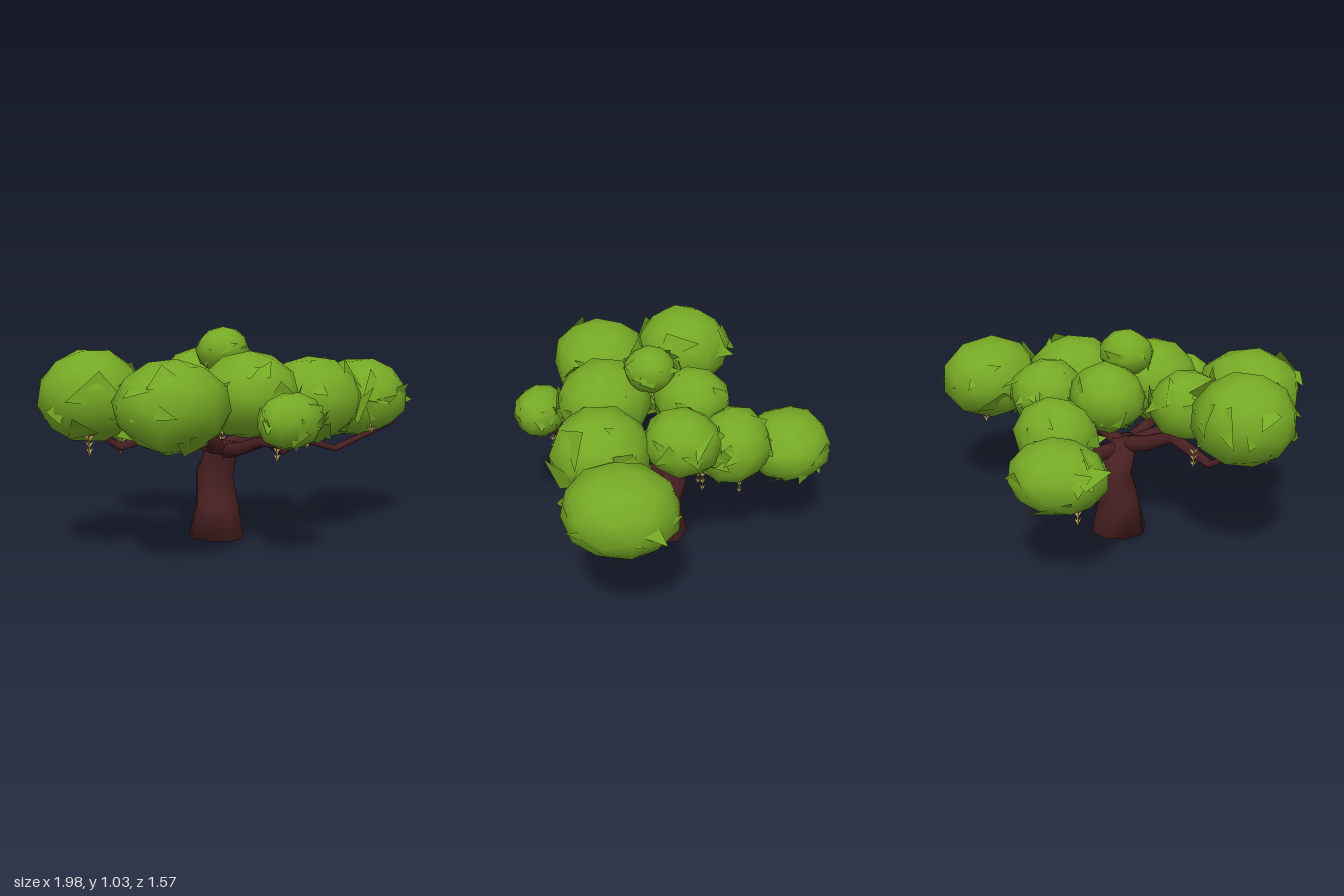
import * as THREE from 'three';
import { mergeGeometries, mergeVertices } from 'three/addons/utils/BufferGeometryUtils.js';

// small seeded random source
function makeRandom(seed) {
  return () => {
    seed = (seed * 16807) % 2147483647;
    return seed / 2147483647;
  };
}

// closed skin over a list of rings, each ring an array of Vector3
function skin(rings) {
  const n = rings[0].length;
  const pos = [], idx = [];
  rings.forEach(r => r.forEach(p => pos.push(p.x, p.y, p.z)));
  for (let i = 0; i < rings.length - 1; i++) {
    for (let j = 0; j < n; j++) {
      const a = i * n + j, b = i * n + (j + 1) % n;
      idx.push(a, a + n, b, b, a + n, b + n);
    }
  }
  const last = (rings.length - 1) * n;
  for (let j = 1; j < n - 1; j++) {
    idx.push(0, j, j + 1);
    idx.push(last, last + j + 1, last + j);
  }
  const g = new THREE.BufferGeometry();
  g.setAttribute('position', new THREE.Float32BufferAttribute(pos, 3));
  g.setIndex(idx);
  g.computeVertexNormals();
  return g;
}

// tapering, kinked limb along a list of points
function limb(points, r0, r1, sides = 6) {
  const pts = points.map(p => new THREE.Vector3(...p));
  const up = new THREE.Vector3(0, 1, 0);
  return skin(pts.map((p, i) => {
    const dir = pts[Math.min(i + 1, pts.length - 1)].clone().sub(pts[Math.max(i - 1, 0)]).normalize();
    const u = new THREE.Vector3().crossVectors(dir, up).normalize();
    const v = new THREE.Vector3().crossVectors(u, dir);
    const r = THREE.MathUtils.lerp(r0, r1, i / (pts.length - 1));
    return Array.from({ length: sides }, (_, j) => {
      const a = j / sides * Math.PI * 2;
      return p.clone().addScaledVector(u, Math.cos(a) * r).addScaledVector(v, Math.sin(a) * r);
    });
  }));
}

// low-poly leaf ball with smooth shading and a slightly uneven surface
function leafBall(rand) {
  let g = new THREE.IcosahedronGeometry(1, 1);
  g.deleteAttribute('normal');
  g.deleteAttribute('uv');
  g = mergeVertices(g, 1e-3);
  const p = g.attributes.position;
  for (let i = 0; i < p.count; i++) {
    const k = 0.98 + rand() * 0.08;
    p.setXYZ(i, p.getX(i) * k, p.getY(i) * k, p.getZ(i) * k);
  }
  g.rotateX(rand() * 6).rotateY(rand() * 6);
  g.computeVertexNormals();
  return g;
}

// loose pointed leaf sheets lying on the ball at shallow angles
function leafSheets(rand, count) {
  const sheets = [];
  const out = new THREE.Vector3(0, 0, 1);
  for (let i = 0; i < count; i++) {
    const s = 0.3 + rand() * 0.22;
    const shape = new THREE.Shape([
      new THREE.Vector2(-s, -s * (0.4 + rand() * 0.5)),
      new THREE.Vector2(s * (0.5 + rand() * 0.5), -s * 0.6),
      new THREE.Vector2(s * (0.2 + rand() * 0.6), s * (0.5 + rand() * 0.7)),
    ]);
    const g = new THREE.ShapeGeometry(shape);
    const y = 0.7 - rand() * 1.5, a = i * 2.4 + rand(), c = Math.sqrt(1 - y * y);
    const dir = new THREE.Vector3(Math.cos(a) * c, y, Math.sin(a) * c);
    g.rotateZ(rand() * 6.28).rotateX((rand() - 0.5) * 0.6).rotateY((rand() - 0.5) * 0.6);
    g.applyQuaternion(new THREE.Quaternion().setFromUnitVectors(out, dir));
    g.translate(dir.x * 0.95, dir.y * 0.95, dir.z * 0.95);
    sheets.push(g);
  }
  return mergeGeometries(sheets);
}

// hanging catkin: crossed stems with stacked downward chevrons
function catkin(height) {
  const parts = [];
  const tiers = Math.max(2, Math.round(height / 0.035));
  for (const turn of [Math.PI / 4, -Math.PI / 4]) {
    parts.push(new THREE.PlaneGeometry(0.007, height).translate(0, height / 2, 0).rotateY(turn));
    for (let i = 0; i < tiers; i++) {
      const w = 0.02 + 0.01 * i / tiers;
      const chevron = new THREE.Shape([
        new THREE.Vector2(0, 0), new THREE.Vector2(w, 0.036),
        new THREE.Vector2(0, 0.022), new THREE.Vector2(-w, 0.036),
      ]);
      parts.push(new THREE.ShapeGeometry(chevron).translate(0, i * height / tiers, 0).rotateY(turn));
    }
  }
  return mergeGeometries(parts);
}

export function createModel() {
  const tree = new THREE.Group();
  tree.name = 'tree';
  const bark = new THREE.MeshStandardMaterial({ color: 0x4a2123 });
  bark.name = 'dark bark';
  const leaf = new THREE.MeshStandardMaterial({ color: 0x76aa25, side: THREE.DoubleSide });
  leaf.name = 'leaf green';
  const straw = new THREE.MeshStandardMaterial({ color: 0xd2b364, side: THREE.DoubleSide });
  straw.name = 'straw yellow';

  const add = (name, geometry, material, parent = tree) => {
    const m = new THREE.Mesh(geometry, material);
    m.name = name;
    parent.add(m);
    return m;
  };

  // trunk rings: y, centre x, centre z, radius x, radius z
  const trunkRings = [
    [0.01, -0.07, 0.05, 0.14, 0.13],
    [0.17, -0.065, 0.052, 0.112, 0.09],
    [0.32, -0.06, 0.015, 0.095, 0.087],
    [0.43, -0.06, 0.08, 0.083, 0.075],
    [0.49, -0.06, 0.11, 0.055, 0.055],
  ].map(([y, cx, cz, rx, rz]) => Array.from({ length: 8 }, (_, j) => {
    const a = j / 8 * Math.PI * 2;
    return new THREE.Vector3(cx + Math.cos(a) * rx, y - Math.cos(a) * 0.008, cz + Math.sin(a) * rz);
  }));
  add('trunk', skin(trunkRings), bark);

  // branches: name, base radius, tip radius, points
  const branches = [
    ['leftBranch', 0.04, 0.012, [[-0.06, 0.45, 0.09], [0.03, 0.49, 0.11], [0.12, 0.5, 0.13], [0.25, 0.42, 0.15], [0.34, 0.475, 0.17], [0.54, 0.41, 0.19], [0.86, 0.53, 0.25]]],
    ['rightBranch', 0.045, 0.014, [[-0.06, 0.45, 0.09], [-0.2, 0.49, 0.09], [-0.35, 0.56, 0.08], [-0.48, 0.52, 0.05], [-0.58, 0.49, 0.03], [-0.67, 0.55, 0.01]]],
    ['frontBranch', 0.04, 0.016, [[-0.06, 0.43, 0.08], [-0.07, 0.475, 0.28], [-0.08, 0.53, 0.46], [-0.08, 0.53, 0.6]]],
    ['backBranch', 0.04, 0.016, [[-0.05, 0.43, 0.08], [0.0, 0.44, -0.06], [0.04, 0.48, -0.18], [-0.02, 0.52, -0.36], [-0.12, 0.53, -0.52]]],
    ['frontRightBranch', 0.04, 0.016, [[-0.08, 0.45, 0.1], [-0.25, 0.53, 0.24], [-0.38, 0.55, 0.32], [-0.53, 0.62, 0.44]]],
  ];
  branches.forEach(([name, r0, r1, pts]) => add(name, limb(pts, r0, r1), bark));

  // foliage clumps: centre x, y, z, then radii x, y, z
  const clumps = [
    [-0.73, 0.74, 0.05, 0.24, 0.205, 0.24],
    [-0.55, 0.72, 0.46, 0.252, 0.205, 0.243],
    [-0.38, 0.7, 0.165, 0.18, 0.165, 0.175],
    [-0.07, 0.73, 0.34, 0.235, 0.2, 0.23],
    [-0.075, 0.645, 0.665, 0.155, 0.125, 0.125],
    [0.34, 0.68, 0.27, 0.235, 0.205, 0.235],
    [0.745, 0.65, 0.1, 0.24, 0.2, 0.262],
    [0.25, 0.72, -0.095, 0.18, 0.16, 0.18],
    [-0.09, 0.76, -0.09, 0.18, 0.16, 0.18],
    [0.05, 0.61, -0.31, 0.205, 0.18, 0.18],
    [-0.13, 0.54, -0.555, 0.23, 0.16, 0.215],
    [-0.07, 0.92, 0.11, 0.125, 0.11, 0.125],
  ];
  clumps.forEach(([x, y, z, rx, ry, rz], i) => {
    const rand = makeRandom(1237 + i * 7919);
    const clump = new THREE.Group();
    clump.name = 'foliageClump' + (i + 1);
    clump.position.set(x, y, z);
    clump.scale.set(rx, ry, rz);
    add('leafBall', leafBall(rand), leaf, clump);
    add('leafSheets', leafSheets(rand, 14), leaf, clump);
    tree.add(clump);
  });

  // hanging catkins: x, bottom y, z, height
  const catkins = [
    [0.07, 0.35, -0.17, 0.15], [0.09, 0.4, -0.15, 0.11], [0.08, 0.36, -0.35, 0.12],
    [-0.26, 0.35, -0.59, 0.1], [0.08, 0.41, 0.345, 0.13], [0.46, 0.4, 0.065, 0.13],
    [0.68, 0.46, -0.04, 0.11], [0.68, 0.49, 0.3, 0.08], [-0.53, 0.49, -0.04, 0.09],
    [-0.8, 0.49, 0.17, 0.09], [0.02, 0.49, 0.58, 0.08],
  ];
  catkins.forEach(([x, y, z, h]) => add('catkin', catkin(h), straw).position.set(x, y, z));

  return tree;
}
